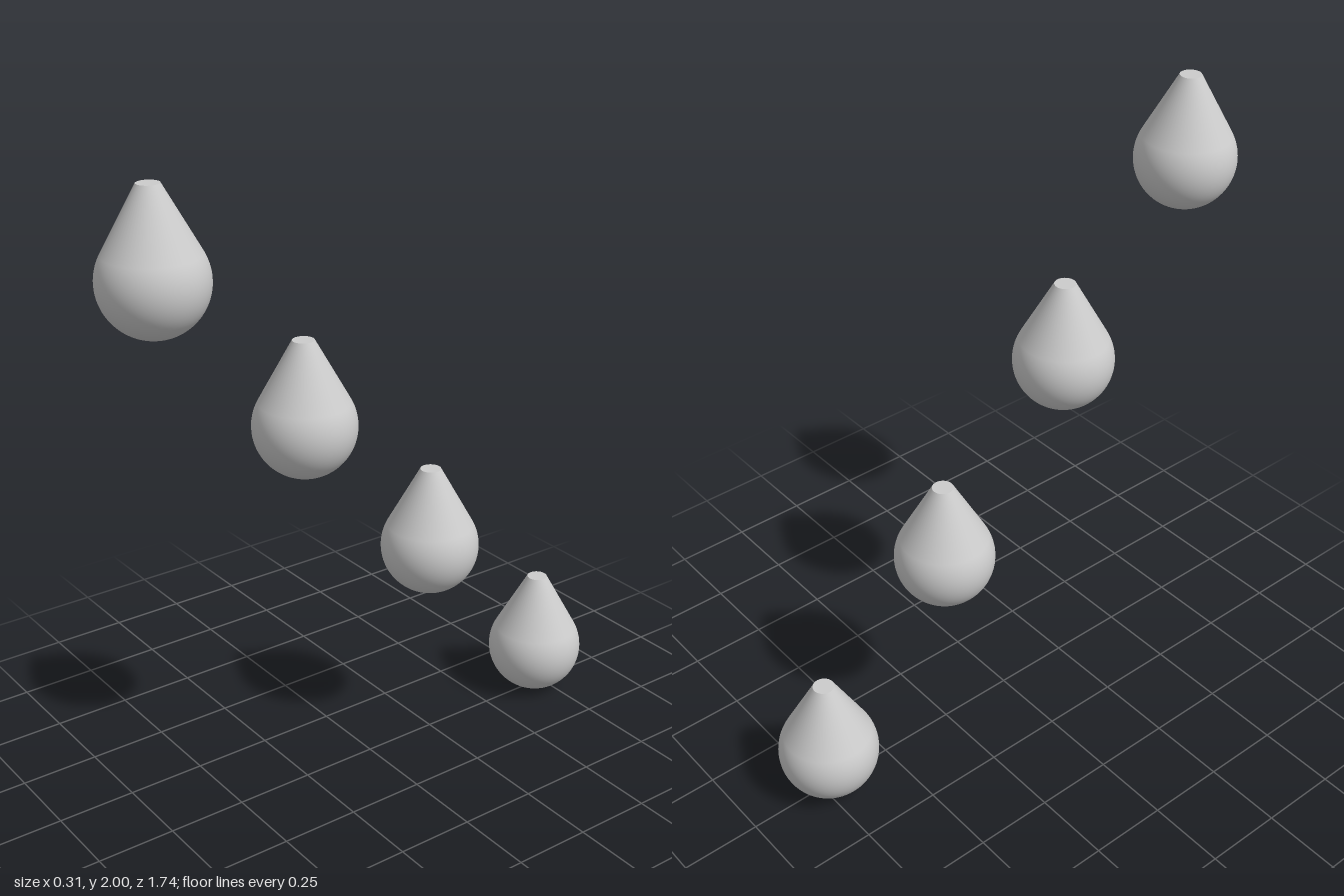
import * as THREE from 'three';

const RADIUS = 0.157, HEIGHT = 0.422, NECK = 0.033;
const TANGENT = THREE.MathUtils.degToRad(28.8); // latitude where the ball runs into the cone

// Drop outline from the bottom pole, round the ball, up the straight cone to the neck
function dropProfile() {
  const points = [];
  const steps = 28;
  for (let i = 0; i <= steps; i++) {
    const a = -Math.PI / 2 + (i / steps) * (Math.PI / 2 + TANGENT);
    points.push(new THREE.Vector2(Math.max(0, Math.cos(a) * RADIUS), RADIUS + Math.sin(a) * RADIUS));
  }
  points.push(new THREE.Vector2(NECK, HEIGHT));
  return points;
}

export function createModel() {
  const model = new THREE.Group();
  model.name = 'cascadingDrops';
  const material = new THREE.MeshStandardMaterial({ color: 0xcccccc });
  const bodyGeometry = new THREE.LatheGeometry(dropProfile(), 64);
  const capGeometry = new THREE.CircleGeometry(NECK, 64).rotateX(-Math.PI / 2);

  // Four equal drops in a row, stepping up towards the front
  for (let i = 0; i < 4; i++) {
    const drop = new THREE.Group();
    drop.name = `drop${i + 1}`;

    const body = new THREE.Mesh(bodyGeometry, material);
    body.name = 'dropBody';

    // Flat disc closing the neck
    const cap = new THREE.Mesh(capGeometry, material);
    cap.name = 'neckCap';
    cap.position.y = HEIGHT;

    drop.add(body, cap);
    drop.position.set(0, i * (2 - HEIGHT) / 3, (i - 1.5) * 0.475);
    model.add(drop);
  }
  return model;
}
